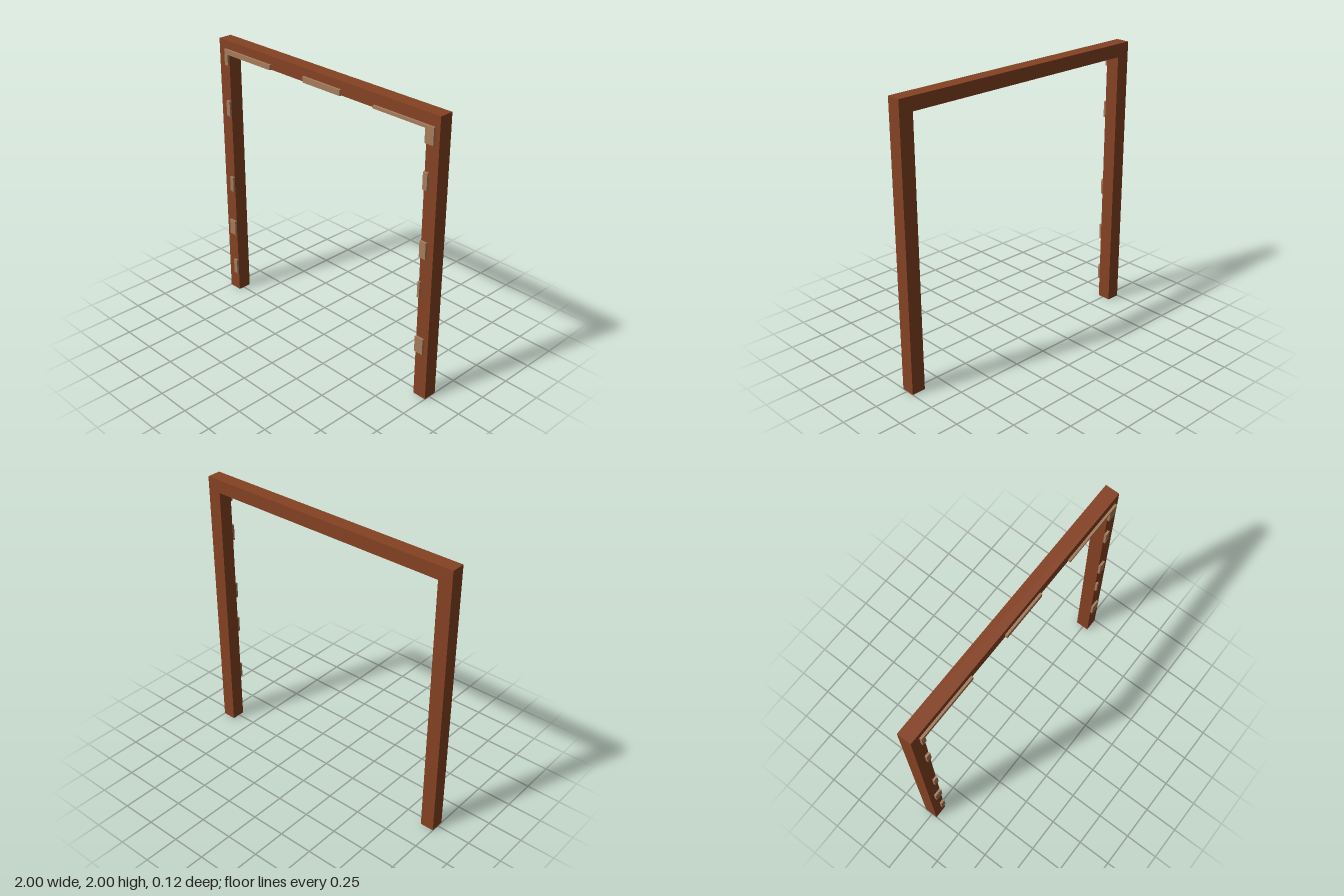
import * as THREE from 'three';

export function createModel() {
  const group = new THREE.Group();
  group.name = 'doorFrame';
  const wood = new THREE.MeshStandardMaterial({ color: 0x854223 });
  wood.name = 'brown wood';
  const worn = new THREE.MeshStandardMaterial({ color: 0xa67b5b });
  worn.name = 'worn pale wood';

  // Extrudes a flat outline forward from zBack
  function addExtruded(name, points, zBack, depth, material) {
    const shape = new THREE.Shape(points.map(([x, y]) => new THREE.Vector2(x, y)));
    const geometry = new THREE.ExtrudeGeometry(shape, { depth, bevelEnabled: false });
    const mesh = new THREE.Mesh(geometry, material);
    mesh.name = name;
    mesh.position.z = zBack;
    group.add(mesh);
  }

  // Two posts and a lintel in one piece
  addExtruded('frame', [
    [-1, 0], [-0.9, 0], [-0.9, 1.905], [0.9, 1.905],
    [0.9, 0], [1, 0], [1, 2], [-1, 2],
  ], -0.058, 0.1, wood);

  // Worn chips along the inner edges: [outer x, bottom, top]
  const front = 0.042, thick = 0.016;
  const chips = [
    [-0.935, 1.445, 1.56], [-0.935, 0.848, 0.962], [-0.96, 0.483, 0.598], [-0.935, 0.147, 0.262],
    [0.935, 1.51, 1.625], [0.95, 1.045, 1.16], [0.918, 0.755, 0.87], [0.967, 0.345, 0.46],
  ];
  chips.forEach(([x, y0, y1]) => {
    const inner = Math.sign(x) * 0.9;
    const a = Math.min(x, inner), b = Math.max(x, inner);
    addExtruded(x < 0 ? 'rightPostChip' : 'leftPostChip',
      [[a, y0], [b, y0], [b, y1], [a, y1]], front, thick, worn);
  });

  // Chip in the middle of the lintel
  addExtruded('lintelChip',
    [[-0.14, 1.905], [0.2, 1.905], [0.2, 1.945], [-0.14, 1.945]], front, thick, worn);

  // L-shaped chips at the inner corners
  addExtruded('rightCornerChip', [
    [-0.933, 1.825], [-0.9, 1.825], [-0.9, 1.905], [-0.46, 1.905], [-0.46, 1.94], [-0.933, 1.94],
  ], front, thick, worn);
  addExtruded('leftCornerChip', [
    [0.9, 1.81], [0.967, 1.81], [0.967, 1.925], [0.483, 1.925], [0.483, 1.905], [0.9, 1.905],
  ], front, thick, worn);

  return group;
}
